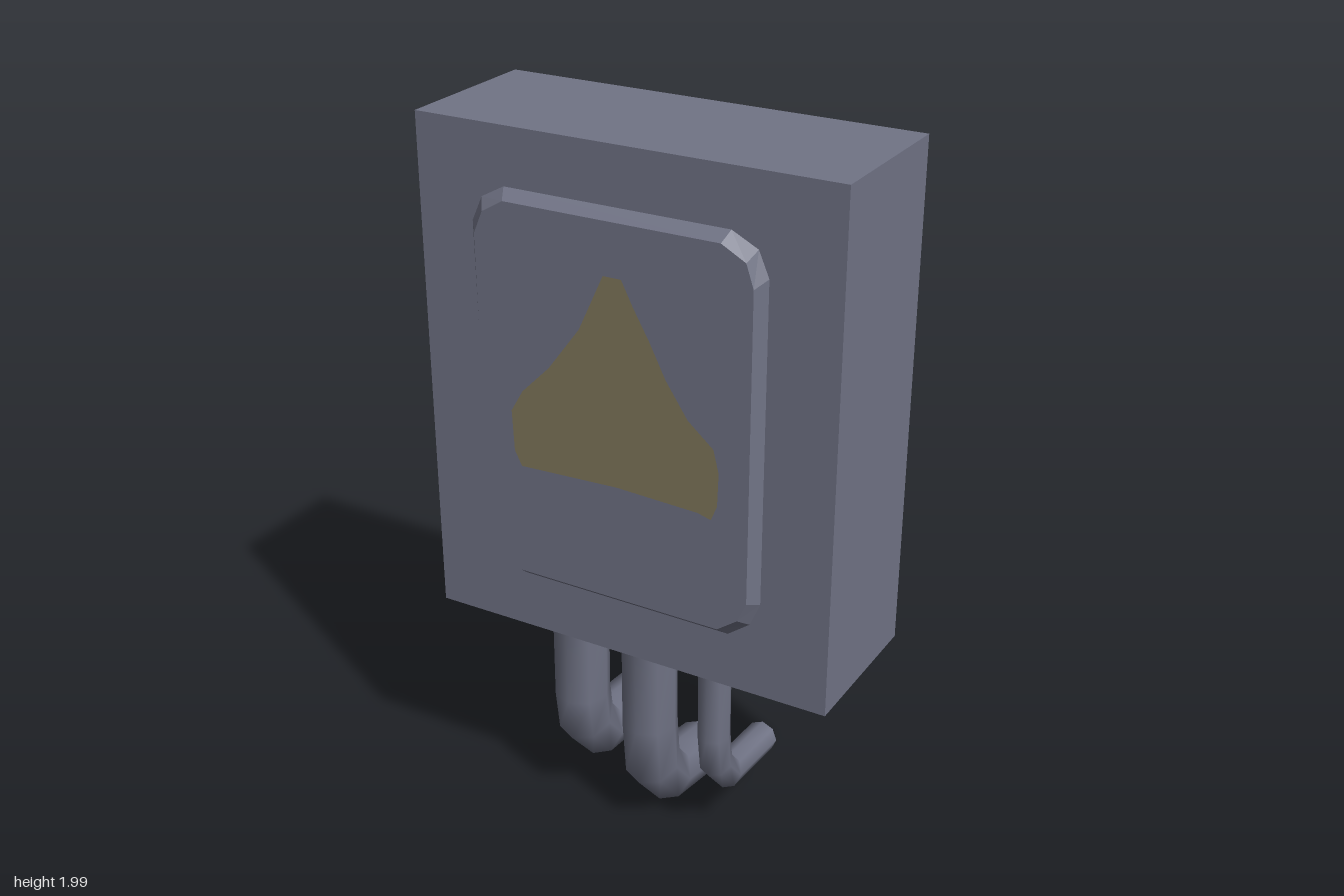
import * as THREE from 'three';

// Mitred open tube along a path in the y-z plane; path entries are [y, z]
function bentPipe(x, r, path, sides = 8) {
  const pos = [], idx = [];
  const dir = (p, q) => new THREE.Vector2(q[0] - p[0], q[1] - p[1]).normalize();
  path.forEach((p, i) => {
    const before = dir(path[Math.max(i - 1, 0)], path[Math.max(i, 1)]);
    const last = path.length - 1;
    const after = dir(path[Math.min(i, last - 1)], path[Math.min(i + 1, last)]);
    const t = before.clone().add(after).normalize();
    const k = r / t.dot(before);
    for (let j = 0; j < sides; j++) {
      const a = (j / sides) * Math.PI * 2;
      pos.push(x + r * Math.cos(a), p[0] + k * t.y * Math.sin(a), p[1] - k * t.x * Math.sin(a));
      if (i < last) {
        const n = (j + 1) % sides, o = i * sides;
        idx.push(o + j, o + n, o + sides + n, o + j, o + sides + n, o + sides + j);
      }
    }
  });
  const g = new THREE.BufferGeometry();
  g.setAttribute('position', new THREE.Float32BufferAttribute(pos, 3));
  g.setIndex(idx);
  g.computeVertexNormals();
  return g;
}

// Flat sheet from an outline, facing +z
function sheet(points, z) {
  const shape = new THREE.Shape(points.map(([x, y]) => new THREE.Vector2(x, y)));
  return new THREE.ShapeGeometry(shape).translate(0, 0, z);
}

// Sloping band between two clockwise outlines
function band(outer, inner, z0, z1) {
  const pos = [];
  outer.forEach((a, i) => {
    const n = (i + 1) % outer.length;
    const A = [...a, z0], B = [...outer[n], z0], C = [...inner[n], z1], D = [...inner[i], z1];
    pos.push(...A, ...D, ...C, ...A, ...C, ...B);
  });
  const g = new THREE.BufferGeometry();
  g.setAttribute('position', new THREE.Float32BufferAttribute(pos, 3));
  g.computeVertexNormals();
  return g;
}

export function createModel() {
  const group = new THREE.Group();
  const grey = new THREE.MeshStandardMaterial({ color: 0x717486 });
  grey.name = 'slate grey';
  const pipeGrey = grey.clone();
  pipeGrey.side = THREE.DoubleSide;
  const yellow = new THREE.MeshStandardMaterial({ color: 0x827a5c });
  yellow.name = 'dull yellow';

  const add = (name, geometry, material) => {
    const mesh = new THREE.Mesh(geometry, material);
    mesh.name = name;
    group.add(mesh);
  };

  // Cabinet
  add('cabinet', new THREE.BoxGeometry(1.15, 1.365, 0.432).translate(0, 1.3175, -0.016), grey);

  // Raised door with bevelled rim
  const outer = [[-0.325, 1.85], [0.29, 1.85], [0.36, 1.815], [0.388, 1.75], [0.388, 0.9], [0.36, 0.835],
    [0.3, 0.79], [-0.3, 0.795], [-0.375, 0.835], [-0.41, 0.9], [-0.42, 1.75], [-0.39, 1.815]];
  const inner = [[-0.31, 1.825], [0.28, 1.825], [0.345, 1.79], [0.365, 1.73], [0.365, 0.91], [0.34, 0.855],
    [0.285, 0.815], [-0.3, 0.82], [-0.36, 0.86], [-0.39, 0.92], [-0.396, 1.73], [-0.37, 1.79]];
  add('doorRim', band(outer, inner, 0.2, 0.231), grey);
  add('doorFace', sheet(inner, 0.231), grey);

  // Worn warning triangle
  add('warningTriangle', sheet([[-0.03, 1.69], [0.02, 1.69], [0.05, 1.63], [0.095, 1.55], [0.14, 1.46],
    [0.2, 1.37], [0.27, 1.31], [0.285, 1.25], [0.282, 1.16], [0.265, 1.12], [0.23, 1.13], [0, 1.14],
    [-0.28, 1.13], [-0.3, 1.17], [-0.305, 1.28], [-0.27, 1.34], [-0.19, 1.42], [-0.1, 1.54]], 0.234), yellow);

  // Conduits bending back to the wall
  add('rightPipe', bentPipe(-0.22, 0.078,
    [[0.65, 0.067], [0.38, 0.067], [0.28, 0.053], [0.205, -0.015], [0.187, -0.225]]), pipeGrey);
  add('middlePipe', bentPipe(-0.004, 0.078,
    [[0.65, 0.067], [0.35, 0.067], [0.205, 0.053], [0.117, -0.025], [0.083, -0.225]]), pipeGrey);
  add('leftPipe', bentPipe(0.195, 0.046,
    [[0.65, 0.067], [0.37, 0.067], [0.27, 0.053], [0.2, -0.01], [0.185, -0.225]]), pipeGrey);

  return group;
}
